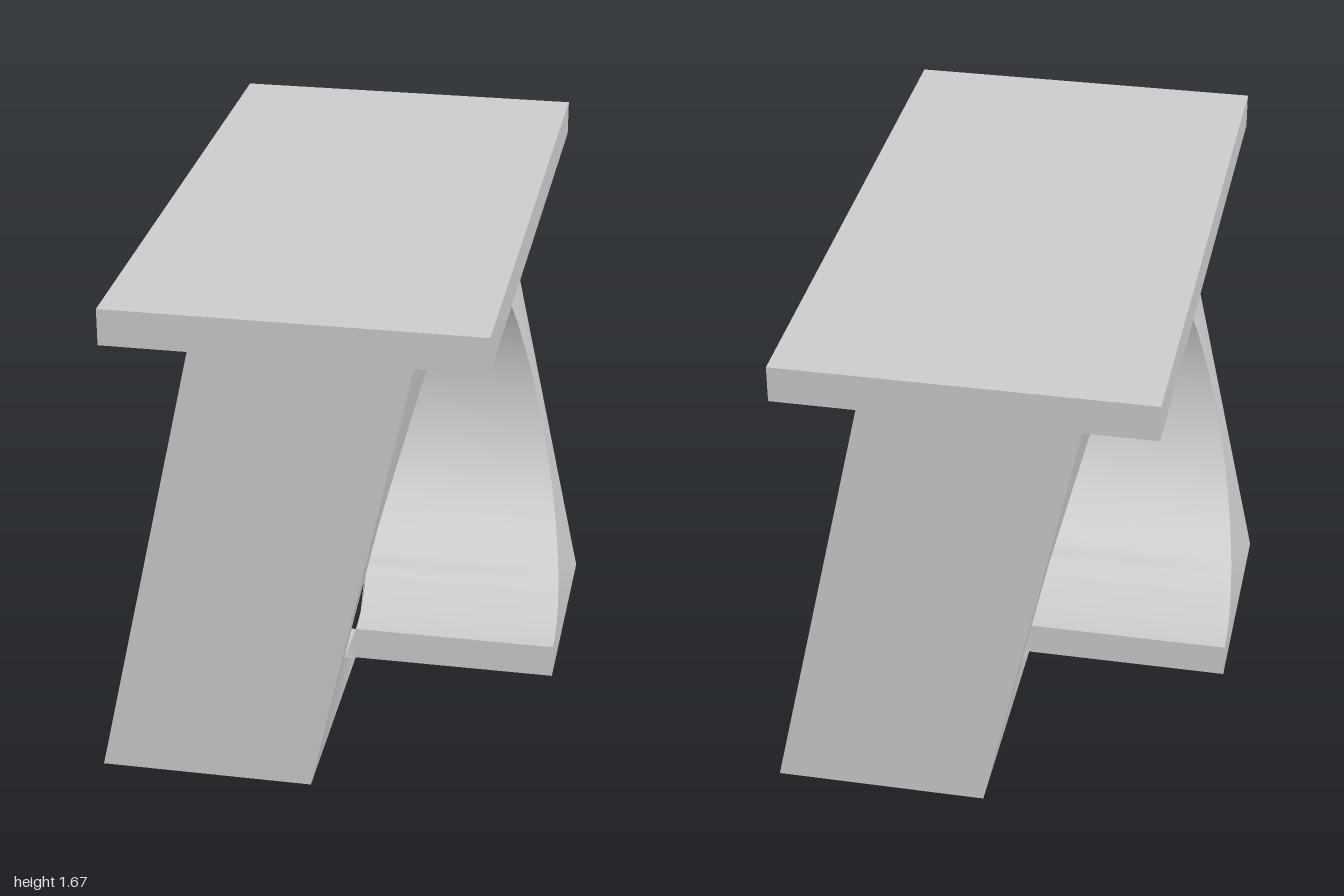
import * as THREE from 'three';
import { toCreasedNormals } from 'three/addons/utils/BufferGeometryUtils.js';

const W = 2 / 3;          // width of each leg, also the radius of the opening
const H = 14 / 9;         // leg height
const HALF = 7 / 9;       // leg depth, also the height of the opening's centre
const RIM = 1 / 9;        // material above and below the opening

// Half of a square frame with a half-round opening, leaning from an outer foot to the centred top
function legGeometry() {
  const shape = new THREE.Shape();
  shape.moveTo(0, 0);
  shape.lineTo(HALF, 0);
  shape.lineTo(HALF, H);
  shape.lineTo(0, H);
  shape.lineTo(0, H - RIM);
  shape.absarc(0, HALF, W, Math.PI / 2, -Math.PI / 2, true);
  shape.closePath();

  const geo = new THREE.ExtrudeGeometry(shape, { depth: 1, bevelEnabled: false, curveSegments: 64 });
  const pos = geo.attributes.position;
  for (let i = 0; i < pos.count; i++) {
    const z = pos.getX(i), y = pos.getY(i), w = pos.getZ(i);
    // the lean runs only over the height of the opening; the rims stay upright
    const lean = THREE.MathUtils.clamp((y - RIM) / (2 * W), 0, 1);
    pos.setXYZ(i, -W + lean * W / 2 + W * (1 - w), y, z);
  }
  return toCreasedNormals(geo, 0.6);
}

export function createModel() {
  const group = new THREE.Group();
  group.name = 'stool';
  const material = new THREE.MeshStandardMaterial({ color: 0xcccccc });

  // Two identical legs, turned half a circle from each other
  const geo = legGeometry();
  ['frontLeg', 'backLeg'].forEach((name, i) => {
    const leg = new THREE.Mesh(geo, material);
    leg.name = name;
    leg.rotation.y = i * Math.PI;
    group.add(leg);
  });

  // Seat slab
  const seat = new THREE.Mesh(new THREE.BoxGeometry(10 / 9, RIM, 2), material);
  seat.name = 'seat';
  seat.position.y = H + RIM / 2;
  group.add(seat);

  return group;
}
